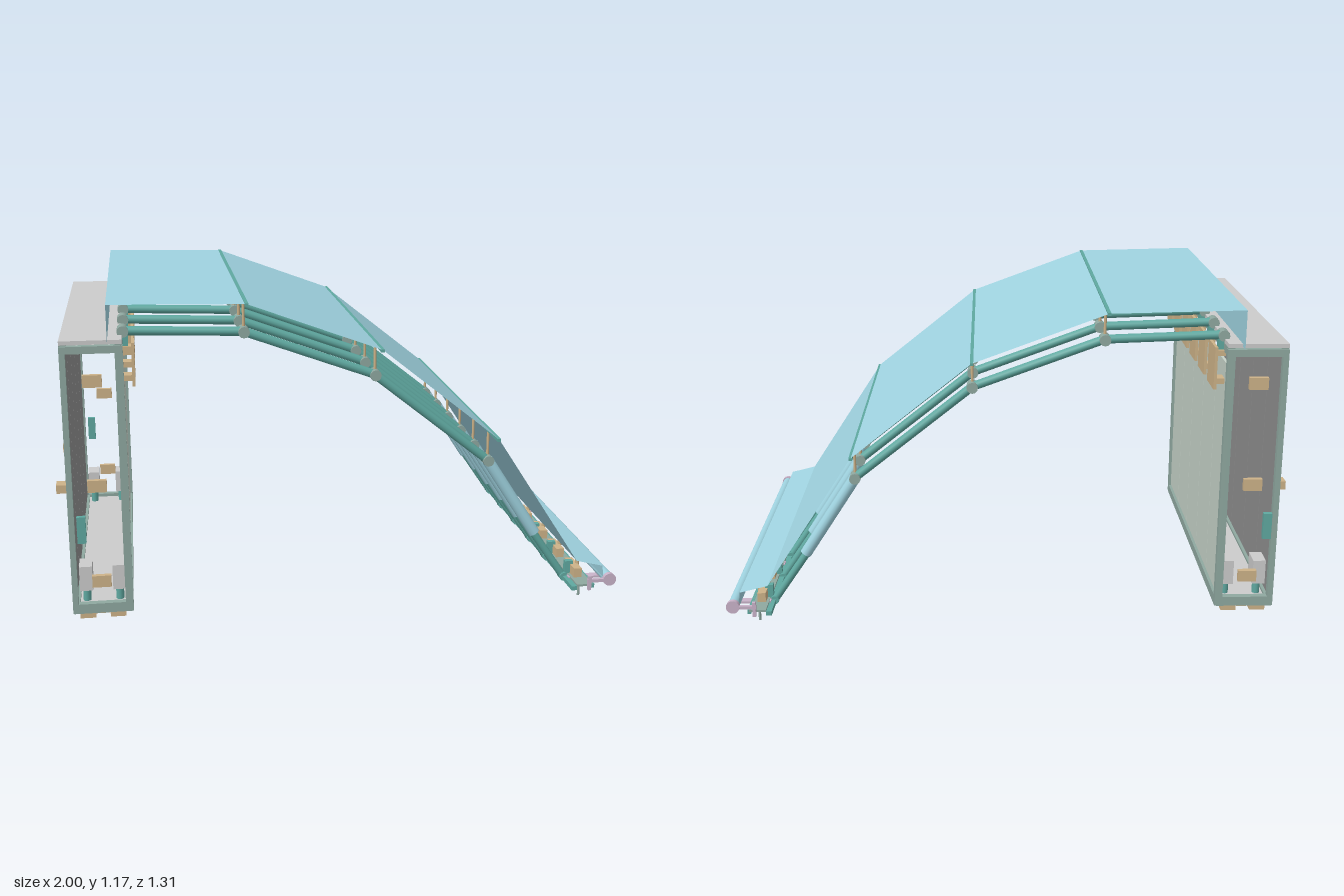
import * as THREE from 'three';

const mat = (color, side = THREE.FrontSide) => new THREE.MeshStandardMaterial({ color, side });
const BLUE = mat(0x9fd3e0), SHEET = mat(0x9fd3e0, THREE.DoubleSide), TEAL = mat(0x5fa8a0);
const FRAME = mat(0x8fa8a0), GREY = mat(0xcccccc), PALE = mat(0xc6d2c8), DARK = mat(0x8e8e8e);
const BEIGE = mat(0xcdb288), PINK = mat(0xc9b3c9);
const ARM_Z = [-0.5, -0.3, -0.1, 0.1, 0.3, 0.5];

// box given by its centre and size
function box(group, name, m, x, y, z, w, h, d) {
  const mesh = new THREE.Mesh(new THREE.BoxGeometry(w, h, d), m);
  mesh.position.set(x, y, z);
  mesh.name = name;
  group.add(mesh);
  return mesh;
}

// round bar between two points
function rod(group, name, m, a, b, r, sides = 12) {
  const p = new THREE.Vector3(...a), q = new THREE.Vector3(...b);
  const dir = q.clone().sub(p);
  const mesh = new THREE.Mesh(new THREE.CylinderGeometry(r, r, dir.length(), sides), m);
  mesh.position.copy(p).add(q).multiplyScalar(0.5);
  mesh.quaternion.setFromUnitVectors(new THREE.Vector3(0, 1, 0), dir.normalize());
  mesh.name = name;
  group.add(mesh);
  return mesh;
}

function part(parent, name) {
  const g = new THREE.Group();
  g.name = name;
  parent.add(g);
  return g;
}

// folded fabric cover: one flat strip per fold of the profile
function buildCanopy(root) {
  const g = part(root, 'canopy');
  const profile = [[-0.8, 1.04], [-0.8, 1.175], [-0.34, 1.165], [0.12, 0.995],
    [0.54, 0.66], [0.85, 0.185], [0.95, 0.16], [0.955, 0.115]];
  for (let i = 0; i < profile.length - 1; i++) {
    const [ax, ay] = profile[i], [bx, by] = profile[i + 1];
    const strip = new THREE.Mesh(new THREE.PlaneGeometry(Math.hypot(bx - ax, by - ay), 1.28), SHEET);
    strip.rotation.set(-Math.PI / 2, 0, 0);
    const holder = part(g, 'canopyStrip');
    holder.position.set((ax + bx) / 2, (ay + by) / 2, 0);
    holder.rotation.z = Math.atan2(by - ay, bx - ax);
    holder.add(strip);
  }
  // stiffeners along the main folds
  for (const [x, y] of profile.slice(2, 5)) box(g, 'foldBatten', TEAL, x, y - 0.003, 0, 0.012, 0.01, 1.28);
}

// jointed arms that carry the cover
function buildArms(root) {
  const joints = [[-0.75, 1.06], [-0.34, 1.045], [0.12, 0.877], [0.54, 0.543]];
  const postTop = [0, 1.16, 0.99, 0.655];
  for (const z of ARM_Z) {
    const g = part(root, 'foldingArm');
    for (let i = 0; i < 3; i++) rod(g, 'armTube', TEAL, [...joints[i], z], [...joints[i + 1], z], 0.016);
    rod(g, 'cylinderBody', BLUE, [0.54, 0.543, z], [0.73, 0.25, z], 0.021);
    rod(g, 'cylinderRod', TEAL, [0.72, 0.26, z], [0.85, 0.07, z], 0.014);
    joints.forEach(([x, y], i) => {
      rod(g, 'hinge', FRAME, [x, y, z - 0.025], [x, y, z + 0.025], 0.02);
      if (i) rod(g, 'coverPost', BEIGE, [x, y, z], [x, postTop[i], z], 0.005, 8);
    });
    rod(g, 'footHinge', TEAL, [0.85, 0.072, z - 0.02], [0.85, 0.072, z + 0.02], 0.016);
    // mounting board on the cabinet
    box(g, 'mountBoard', BEIGE, -0.718, 0.955, z, 0.01, 0.15, 0.13);
    box(g, 'boardSpacer', BEIGE, -0.74, 1.0, z, 0.035, 0.02, 0.05);
    box(g, 'boardSpacer', BEIGE, -0.74, 0.9, z, 0.035, 0.02, 0.05);
    box(g, 'hingeBracket', TEAL, -0.745, 1.035, z, 0.025, 0.05, 0.03);
  }
}

// tall open-ended cabinet
function buildCabinet(root) {
  const g = part(root, 'cabinet');
  box(g, 'roof', GREY, -0.856, 1.043, 0, 0.207, 0.014, 1.2);
  box(g, 'ceiling', GREY, -0.856, 1.012, 0, 0.18, 0.01, 1.18);
  box(g, 'floor', GREY, -0.856, 0.09, 0, 0.19, 0.02, 1.18);
  // five panels per wall with narrow gaps
  for (let i = 0; i < 5; i++) {
    const z = (i - 2) * 0.236;
    box(g, 'outerPanel', DARK, -0.952, 0.555, z, 0.01, 0.9, 0.231);
    box(g, 'innerPanel', PALE, -0.765, 0.54, z, 0.01, 0.85, 0.231);
  }
  // lengthwise rails
  for (const x of [-0.948, -0.764]) {
    box(g, 'lowerRail', FRAME, x, 0.092, 0, 0.025, 0.035, 1.18);
    box(g, 'upperRail', FRAME, x, 1.02, 0, 0.025, 0.03, 1.18);
  }
  for (const s of [-1, 1]) {
    const end = part(g, 'endFrame');
    const z = s * 0.588;
    box(end, 'outerPost', FRAME, -0.95, 0.555, z, 0.02, 0.95, 0.025);
    box(end, 'innerPost', FRAME, -0.764, 0.555, z, 0.027, 0.95, 0.025);
    box(end, 'topBar', FRAME, -0.856, 1.018, z, 0.2, 0.025, 0.025);
    box(end, 'bottomBar', FRAME, -0.856, 0.095, z, 0.2, 0.035, 0.025);
    for (const y of [0.92, 0.555, 0.21]) box(end, 'bracket', BEIGE, -0.855, y, s * 0.628, 0.065, 0.042, 0.018);
    box(end, 'controlBox', TEAL, -0.915, 0.4, s * 0.628, 0.03, 0.095, 0.018);
    for (const x of [-0.912, -0.797]) {
      box(end, 'pumpUnit', GREY, x, 0.195, s * 0.53, 0.045, 0.09, 0.08);
      rod(end, 'pumpBase', TEAL, [x, 0.1, s * 0.53], [x, 0.155, s * 0.53], 0.014);
    }
  }
  // blocks on the outer wall
  for (const z of [-0.49, 0, 0.485]) {
    box(g, 'wallBlock', BEIGE, -0.98, 0.508, z, 0.04, 0.03, 0.05);
    box(g, 'wallBlockPlate', BEIGE, -0.962, 0.525, z, 0.008, 0.06, 0.05);
  }
  // skids under the floor
  for (const x of [-0.91, -0.805]) {
    box(g, 'skid', BEIGE, x, 0.06, 0, 0.055, 0.018, 1.16);
    box(g, 'skidShoe', BEIGE, x, 0.048, 0, 0.035, 0.016, 0.88);
  }
  box(g, 'centreSkid', BEIGE, -0.857, 0.075, 0, 0.045, 0.016, 1.16);
}

// low rail with the roller at the far edge
function buildEdgeRail(root) {
  const g = part(root, 'edgeRail');
  box(g, 'rail', TEAL, 0.855, 0.068, 0, 0.02, 0.016, 1.24);
  box(g, 'railPlate', FRAME, 0.895, 0.078, 0, 0.06, 0.008, 1.24);
  box(g, 'sideRail', TEAL, 0.925, 0.074, 0, 0.012, 0.016, 1.24);
  rod(g, 'roller', BLUE, [0.975, 0.11, -0.65], [0.975, 0.11, 0.65], 0.02, 20);
  for (const z of ARM_Z) {
    box(g, 'clampBlock', BEIGE, 0.89, 0.1, z, 0.03, 0.035, 0.11);
    rod(g, 'clampPin', BEIGE, [0.905, 0.08, z], [0.905, 0.148, z], 0.008, 8);
    box(g, 'clampLink', TEAL, 0.87, 0.1, z, 0.03, 0.06, 0.02);
  }
  // stakes and roller carriers
  for (const z of [-0.53, -0.195, 0.195, 0.53]) {
    rod(g, 'stake', FRAME, [0.905, 0, z], [0.905, 0.1, z], 0.005, 8);
    box(g, 'carrierArm', PINK, 0.92, 0.076, z, 0.12, 0.008, 0.03);
    box(g, 'carrierLip', PINK, 0.977, 0.082, z, 0.008, 0.02, 0.03);
  }
  // end plates
  for (const s of [-1, 1]) {
    box(g, 'endArm', PINK, 0.94, 0.108, s * 0.649, 0.095, 0.012, 0.012);
    box(g, 'endDrop', PINK, 0.9, 0.1, s * 0.649, 0.012, 0.055, 0.012);
    rod(g, 'endCap', PINK, [0.975, 0.11, s * 0.64], [0.975, 0.11, s * 0.656], 0.024, 20);
  }
}

export function createModel() {
  const root = new THREE.Group();
  root.name = 'foldingShelter';
  buildCabinet(root);
  buildArms(root);
  buildCanopy(root);
  buildEdgeRail(root);
  return root;
}
